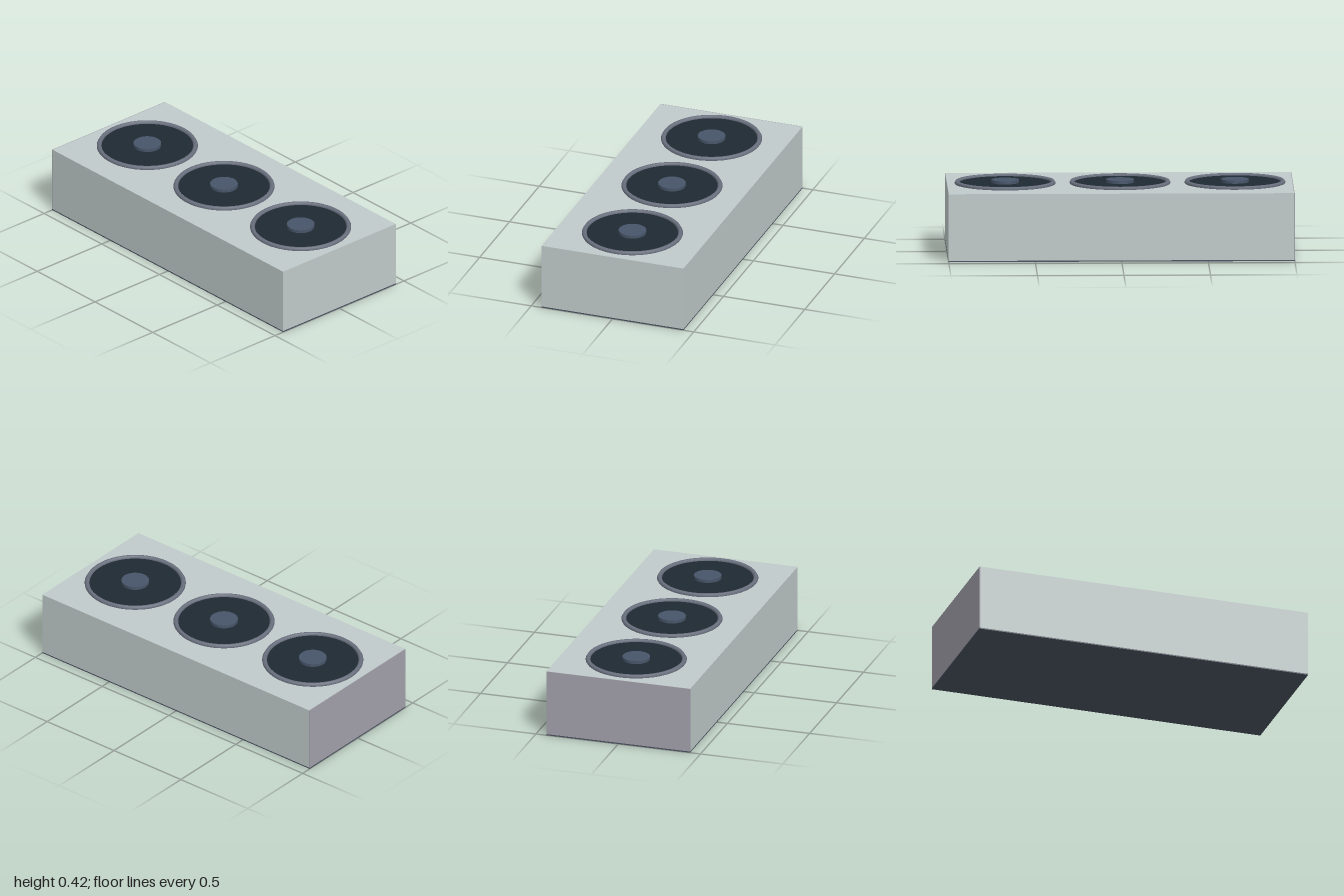
import * as THREE from 'three';

const W = 2, D = 0.874, TOP = 0.396, BASE_H = 0.007, PANEL_T = 0.004;

export function createModel() {
  const root = new THREE.Group();
  root.name = 'fanUnit';
  const mat = (color) => new THREE.MeshStandardMaterial({ color });
  const shell = mat(0xc0caca), panel = mat(0xa2a1ab), base = mat(0x4b5260);
  const rim = mat(0x6b7280), dark = mat(0x1f2933), hubMat = mat(0x475569);

  const add = (parent, name, geometry, material, x, y, z = 0) => {
    const mesh = new THREE.Mesh(geometry, material);
    mesh.name = name;
    mesh.position.set(x, y, z);
    parent.add(mesh);
    return mesh;
  };

  // Casing with a dark base plate and a grey end panel on its right
  const h = TOP - BASE_H;
  add(root, 'basePlate', new THREE.BoxGeometry(W, BASE_H, D), base, 0, BASE_H / 2);
  add(root, 'casing', new THREE.BoxGeometry(W - PANEL_T, h, D), shell, PANEL_T / 2, BASE_H + h / 2);
  add(root, 'endPanel', new THREE.BoxGeometry(PANEL_T, h, D), panel, -W / 2 + PANEL_T / 2, BASE_H + h / 2);

  // Three round fans: raised rim, dark opening and hub
  const rimGeo = new THREE.TorusGeometry(0.278, 0.0145, 6, 64).rotateX(Math.PI / 2);
  const discGeo = new THREE.CylinderGeometry(0.276, 0.276, 0.01, 64);
  const hubGeo = new THREE.CylinderGeometry(0.08, 0.08, 0.023, 32);
  for (const x of [-0.664, 0, 0.664]) {
    const fan = new THREE.Group();
    fan.name = 'fan';
    fan.position.set(x, TOP, 0);
    add(fan, 'fanRim', rimGeo, rim, 0, 0.0045);
    add(fan, 'fanOpening', discGeo, dark, 0, 0);
    add(fan, 'fanHub', hubGeo, hubMat, 0, 0.0115);
    root.add(fan);
  }
  return root;
}
